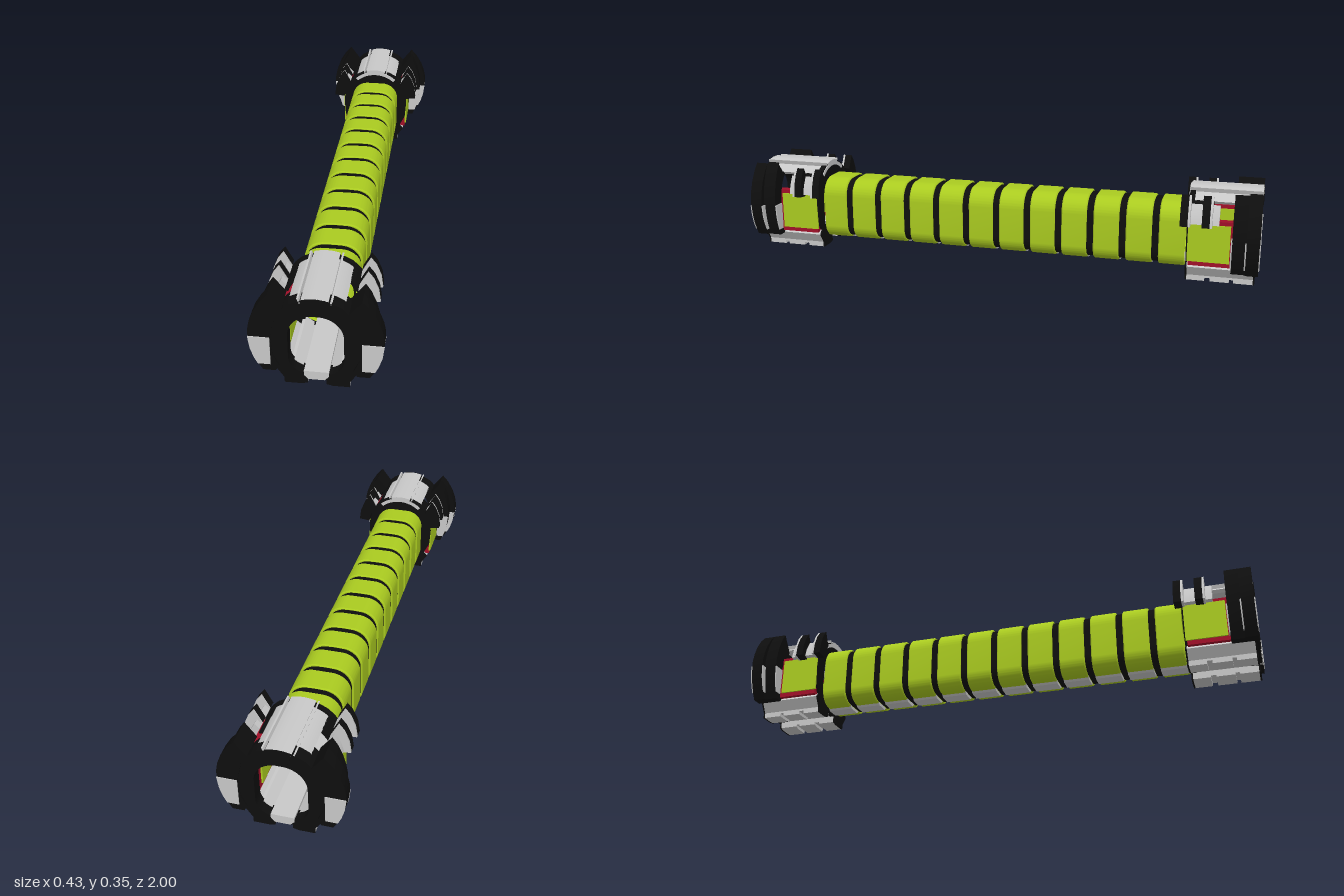
import * as THREE from 'three';
import { toCreasedNormals } from 'three/addons/utils/BufferGeometryUtils.js';

const mat = (name, color) => {
  const m = new THREE.MeshStandardMaterial({ color });
  m.name = name;
  return m;
};

export function createModel() {
  const green = mat('lime green', 0xaacb20);
  const black = mat('black', 0x0e0e0e);
  const gray = mat('light gray', 0xc8c8c8);
  const red = mat('dark red', 0xa01028);
  const root = new THREE.Group();
  root.name = 'corridor';

  const poly = (pts, side = 1) => new THREE.Shape(pts.map(([x, y]) => new THREE.Vector2(x * side, y)));

  // extrude an x-y section between two depths
  function slab(parent, name, shape, z0, z1, material, bevel = 0) {
    const geo = new THREE.ExtrudeGeometry(shape, {
      depth: z1 - z0 - 2 * bevel, curveSegments: 10, bevelEnabled: bevel > 0,
      bevelThickness: bevel, bevelSize: bevel, bevelOffset: -bevel, bevelSegments: 1,
    });
    geo.translate(0, 0, z0 + bevel);
    const mesh = new THREE.Mesh(toCreasedNormals(geo, 0.5), material);
    mesh.name = name;
    parent.add(mesh);
    return mesh;
  }

  function box(parent, name, x0, x1, y0, y1, z0, z1, material) {
    const mesh = new THREE.Mesh(new THREE.BoxGeometry(x1 - x0, y1 - y0, z1 - z0), material);
    mesh.position.set((x0 + x1) / 2, (y0 + y1) / 2, (z0 + z1) / 2);
    mesh.name = name;
    parent.add(mesh);
  }

  // arched passage outline: w half width, rt top radius, rb bottom radius
  function arch(w, y0, y1, rt, rb, T = THREE.Shape) {
    const s = new T();
    s.moveTo(-w + rb, y0);
    s.lineTo(w - rb, y0);
    s.absarc(w - rb, y0 + rb, rb, -Math.PI / 2, 0, false);
    s.lineTo(w, y1 - rt);
    s.absarc(w - rt, y1 - rt, rt, 0, Math.PI / 2, false);
    s.lineTo(-w + rt, y1);
    s.absarc(-w + rt, y1 - rt, rt, Math.PI / 2, Math.PI, false);
    s.lineTo(-w, y0 + rb);
    s.absarc(-w + rb, y0 + rb, rb, Math.PI, Math.PI * 1.5, false);
    return s;
  }
  const opening = () => arch(0.089, 0.052, 0.277, 0.08, 0.06, THREE.Path);

  // curved strip around the passage axis
  function arcBand(rIn, rOut, a0, a1) {
    const s = new THREE.Shape();
    s.absarc(0, 0.2, rOut, a0, a1, false);
    s.absarc(0, 0.2, rIn, a1, a0, true);
    return s;
  }

  // hollow tube: twelve shells with eleven dark joints
  const tube = new THREE.Group();
  tube.name = 'tube';
  root.add(tube);
  const step = 0.1235;
  const shell = arch(0.101, 0.037, 0.286, 0.068, 0.058);
  shell.holes.push(opening());
  const joint = arch(0.095, 0.043, 0.28, 0.068, 0.058);
  joint.holes.push(opening());
  for (let i = 0; i < 12; i++) {
    const z = (i - 5.5) * step;
    slab(tube, 'tubeSegment', shell, z - 0.049, z + 0.049, green, 0.004);
    if (i < 11) slab(tube, 'tubeJoint', joint, z + 0.045, z + step - 0.045, black);
    // keel plate under each segment
    slab(tube, 'keelPlate', poly([[-0.04, 0.045], [-0.026, 0.03], [0.026, 0.03], [0.04, 0.045]]),
      z - 0.049, z + 0.049, gray);
  }
  box(tube, 'floorStrip', -0.04, 0.04, 0.05, 0.062, -0.74, 0.74, gray);

  // half outline of the end rings, mirrored into a whole
  const half = [[0, 0.03], [0.04, 0.03], [0.075, 0.042], [0.115, 0.075], [0.138, 0.12], [0.143, 0.19],
    [0.138, 0.235], [0.125, 0.27], [0.105, 0.295], [0.085, 0.315], [0.06, 0.328], [0.03, 0.338], [0, 0.341]];
  const ringShape = poly([...half, ...half.slice(1, -1).reverse().map(([x, y]) => [-x, y])]);
  ringShape.holes.push(opening());

  const wing = [[0.105, 0.295], [0.145, 0.347], [0.17, 0.32], [0.193, 0.282], [0.207, 0.245], [0.214, 0.21],
    [0.214, 0.185], [0.208, 0.14], [0.197, 0.105], [0.185, 0.08], [0.17, 0.055], [0.13, 0.055], [0.118, 0.075],
    [0.138, 0.12], [0.143, 0.19], [0.125, 0.27]];
  const wingInset = [[0.145, 0.08], [0.186, 0.08], [0.198, 0.105], [0.209, 0.14], [0.215, 0.185], [0.145, 0.185]];
  const innerWing = wing.map(([x, y]) => [x > 0.145 ? 0.145 + (x - 0.145) * 0.7 : x, y]);
  const fin = [[0.115, 0.283], [0.143, 0.335], [0.162, 0.31], [0.178, 0.27], [0.184, 0.225], [0.14, 0.22], [0.13, 0.255]];
  const finBase = [[0.115, 0.283], [0.132, 0.3], [0.152, 0.262], [0.16, 0.23], [0.14, 0.225]];
  const foot = [[0.03, 0.005], [0.05, 0], [0.105, 0], [0.105, 0.02], [0.13, 0.058], [0.115, 0.075], [0.075, 0.042], [0.03, 0.034]];

  function makeStation() {
    const st = new THREE.Group();
    st.name = 'endStation';
    slab(st, 'outerRing', ringShape, 0.95, 0.995, black);
    slab(st, 'innerCollar', ringShape, 0.735, 0.755, black);

    // roof arch with raised centre and two rails
    slab(st, 'roofArch', arcBand(0.122, 0.136, 0.85, Math.PI - 0.85), 0.732, 0.993, gray);
    slab(st, 'roofPlate', arcBand(0.13, 0.145, 1.27, Math.PI - 1.27), 0.732, 0.997, gray);
    slab(st, 'roofFront', arcBand(0.09, 0.145, 1.27, Math.PI - 1.27), 0.996, 0.999, black);
    slab(st, 'floorPan', poly([[-0.085, 0.075], [-0.05, 0.04], [-0.026, 0.03], [0.026, 0.03], [0.05, 0.04], [0.085, 0.075],
      [0.075, 0.075], [0.04, 0.05], [-0.04, 0.05], [-0.075, 0.075]]), 0.74, 0.96, gray);
    box(st, 'floorStrip', -0.04, 0.04, 0.05, 0.062, 0.735, 0.985, gray);
    slab(st, 'floorLip', poly([[-0.04, 0.045], [-0.026, 0.03], [0.026, 0.03], [0.04, 0.045], [0.04, 0.062], [-0.04, 0.062]]),
      0.985, 0.997, gray);

    for (const s of [1, -1]) {
      const X = (name, a, b, ...rest) => box(st, name, Math.min(a * s, b * s), Math.max(a * s, b * s), ...rest);
      slab(st, 'roofRail', poly([[0.044, 0.325], [0.05, 0.325], [0.056, 0.342], [0.05, 0.342]], s), 0.735, 0.995, gray);

      // shoulder strips leaving a window between them
      const a0 = s > 0 ? 0.3 : Math.PI - 0.86;
      slab(st, 'rearShoulder', arcBand(0.122, 0.136, a0, a0 + 0.56), 0.75, 0.825, black);
      slab(st, 'frontShoulder', arcBand(0.122, 0.136, a0, a0 + 0.56), 0.91, 0.955, black);

      // large outer wing with gray inserts
      slab(st, 'outerWing', poly(wing, s), 0.95, 0.997, black);
      slab(st, 'innerWing', poly(innerWing, s), 0.9, 0.95, black);
      slab(st, 'wingInsertFront', poly(wingInset, s), 0.996, 1, gray);
      slab(st, 'wingInsertBack', poly(wingInset, s), 0.946, 0.951, gray);
      slab(st, 'innerWingInsert', poly(wingInset.map(([x, y]) => [x > 0.145 ? 0.145 + (x - 0.145) * 0.7 : x, y]), s),
        0.896, 0.901, gray);

      // pair of small fins, gray on their inner faces
      slab(st, 'finBase', poly(finBase, s), 0.735, 0.85, gray);
      for (const z of [0.712, 0.79]) {
        slab(st, 'fin', poly(fin, s), z, z + 0.028, black);
        slab(st, 'finFace', poly(fin, s), z + 0.028, z + 0.036, gray);
      }

      // side door: red frame with green panels inside and out
      X('doorFrame', 0.106, 0.138, 0.068, 0.24, 0.745, 0.945, red);
      X('doorPanelOutside', 0.137, 0.144, 0.085, 0.226, 0.74, 0.892, green);
      X('doorPanelInside', 0.1, 0.107, 0.085, 0.226, 0.755, 0.892, green);

      // segmented foot with dark end cap
      slab(st, 'footRear', poly(foot, s), 0.74, 0.805, gray);
      slab(st, 'footMiddle', poly(foot.map(([x, y]) => [x, Math.max(y, 0.012)]), s), 0.805, 0.825, gray);
      slab(st, 'footCentre', poly(foot, s), 0.825, 0.895, gray);
      slab(st, 'footGap', poly(foot.map(([x, y]) => [x, Math.max(y, 0.012)]), s), 0.895, 0.91, gray);
      slab(st, 'footFront', poly(foot, s), 0.91, 0.98, gray);
      slab(st, 'footCap', poly(foot, s), 0.98, 0.986, black);
      slab(st, 'footRearCap', poly(foot, s), 0.734, 0.74, black);
    }
    return st;
  }

  // matching stations at both ends
  const front = makeStation();
  const back = makeStation();
  back.rotation.y = Math.PI;
  root.add(front, back);
  return root;
}
